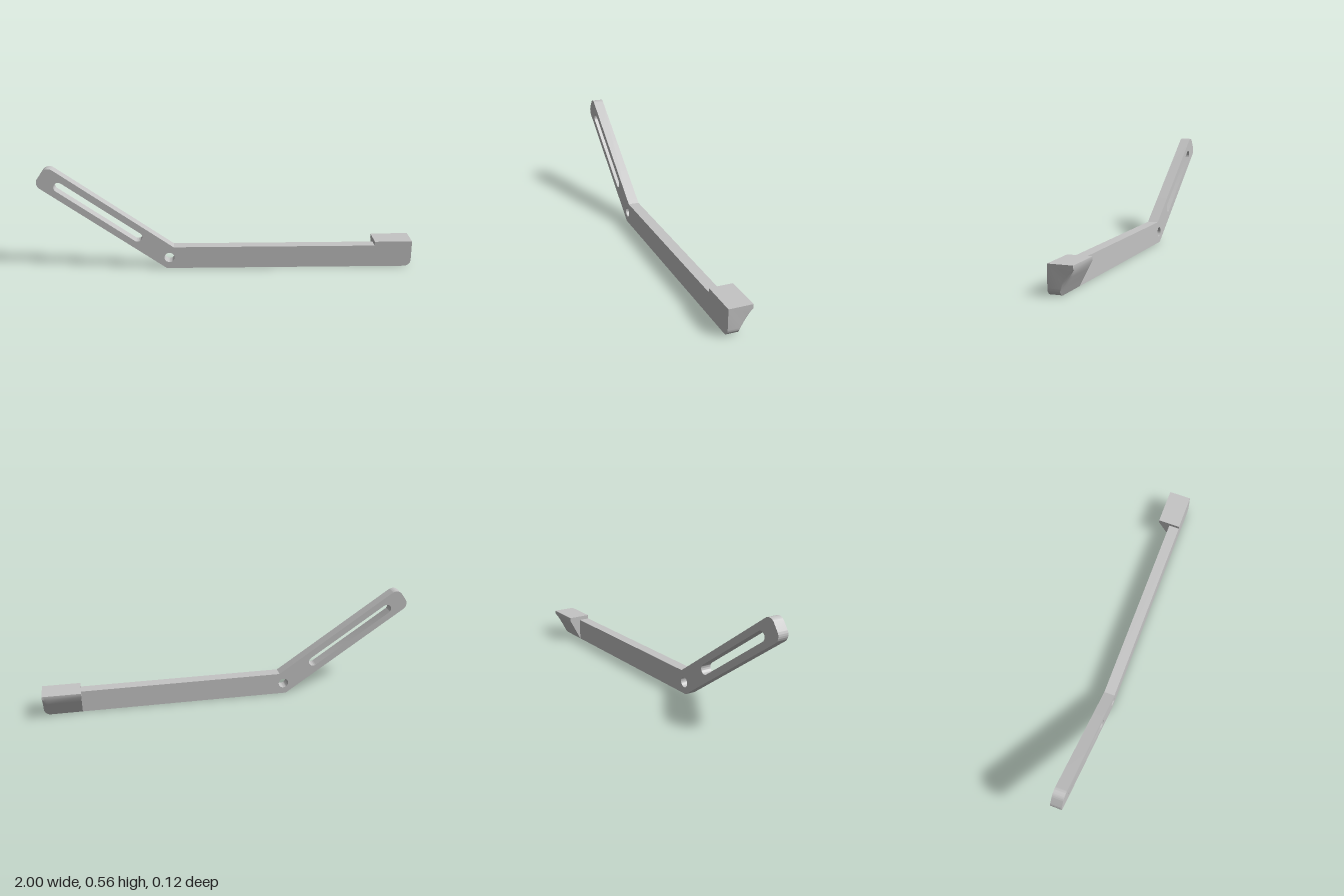
import * as THREE from 'three';
import { toCreasedNormals } from 'three/addons/utils/BufferGeometryUtils.js';

const BACK = 0.003, FRONT = 0.062;   // plate faces in z
const HEAD_X = 0.797, TOP = 0.143, ROUND = 0.035;

// Bent flat bar with a slotted, raised end
function leverGeometry() {
  const angle = THREE.MathUtils.degToRad(35);
  const c = Math.cos(angle), s = Math.sin(angle);
  // point on the raised arm: distance along it and across it
  const at = (along, across) => [-0.33 - c * along + s * across, s * along + c * across];
  const L = 0.837, W = 0.1225, r = 0.04;

  const shape = new THREE.Shape();
  shape.moveTo(-0.33, 0);
  shape.lineTo(HEAD_X, 0);
  shape.lineTo(HEAD_X, 0.121);
  shape.lineTo(-0.291, 0.121);
  shape.lineTo(...at(L - r, W));
  const upper = at(L - r, W - r), lower = at(L - r, r);
  const up = Math.PI / 2 - angle;
  shape.absarc(...upper, r, up, up + Math.PI / 2, false);
  shape.absarc(...lower, r, up + Math.PI / 2, up + Math.PI, false);
  shape.closePath();

  // long slot
  const slot = new THREE.Path();
  slot.absarc(...at(0.722, 0.061), 0.026, up, up + Math.PI, false);
  slot.absarc(...at(0.23, 0.061), 0.026, up + Math.PI, up + 2 * Math.PI, false);
  slot.closePath();
  // pivot hole
  const hole = new THREE.Path();
  hole.absarc(-0.315, 0.062, 0.027, 0, Math.PI * 2, true);
  shape.holes.push(slot, hole);

  const geometry = new THREE.ExtrudeGeometry(shape, {
    depth: FRONT - BACK, bevelEnabled: false, curveSegments: 16,
  });
  geometry.translate(0, 0, BACK);
  return toCreasedNormals(geometry, 0.6);
}

// Wedge-backed head, lofted along x, with its lower end corner rounded off
function headGeometry() {
  const section = (x, f) => {
    const y = (a, b) => a + (b - a) * f;
    return [
      [FRONT, TOP], [-0.062, TOP], [-0.062, 0.123],
      [-0.042, y(0.085, 0.106)], [-0.024, y(0.051, 0.085)],
      [-0.008, y(0.021, 0.061)], [BACK, y(0, ROUND)], [FRONT, y(0, ROUND)],
    ].map(([z, h]) => [x, h, z]);
  };
  const sections = [section(HEAD_X, 0)];
  const steps = 10;
  for (let i = 0; i <= steps; i++) {
    const a = (i / steps) * Math.PI / 2;
    sections.push(section(1 - ROUND + ROUND * Math.sin(a), 1 - Math.cos(a)));
  }
  const out = [];
  const tri = (...points) => points.forEach((p) => out.push(...p));
  const n = sections[0].length;
  for (let i = 0; i < sections.length - 1; i++) {
    const A = sections[i], B = sections[i + 1];
    for (let j = 0; j < n; j++) {
      const k = (j + 1) % n;
      tri(A[j], B[j], B[k]);
      tri(A[j], B[k], A[k]);
    }
  }
  // end caps
  const first = sections[0], last = sections[sections.length - 1];
  for (let k = 1; k < n - 1; k++) {
    tri(first[0], first[k], first[k + 1]);
    tri(last[0], last[k + 1], last[k]);
  }
  const geometry = new THREE.BufferGeometry();
  geometry.setAttribute('position', new THREE.Float32BufferAttribute(out, 3));
  return toCreasedNormals(geometry, 0.6);
}

export function createModel() {
  const grey = new THREE.MeshStandardMaterial({ color: 0xc4c4c4 });
  grey.name = 'lightGrey';
  const group = new THREE.Group();
  group.name = 'bentLever';
  for (const [name, geometry] of [['slottedLever', leverGeometry()], ['wedgeHead', headGeometry()]]) {
    const mesh = new THREE.Mesh(geometry, grey);
    mesh.name = name;
    group.add(mesh);
  }
  return group;
}
